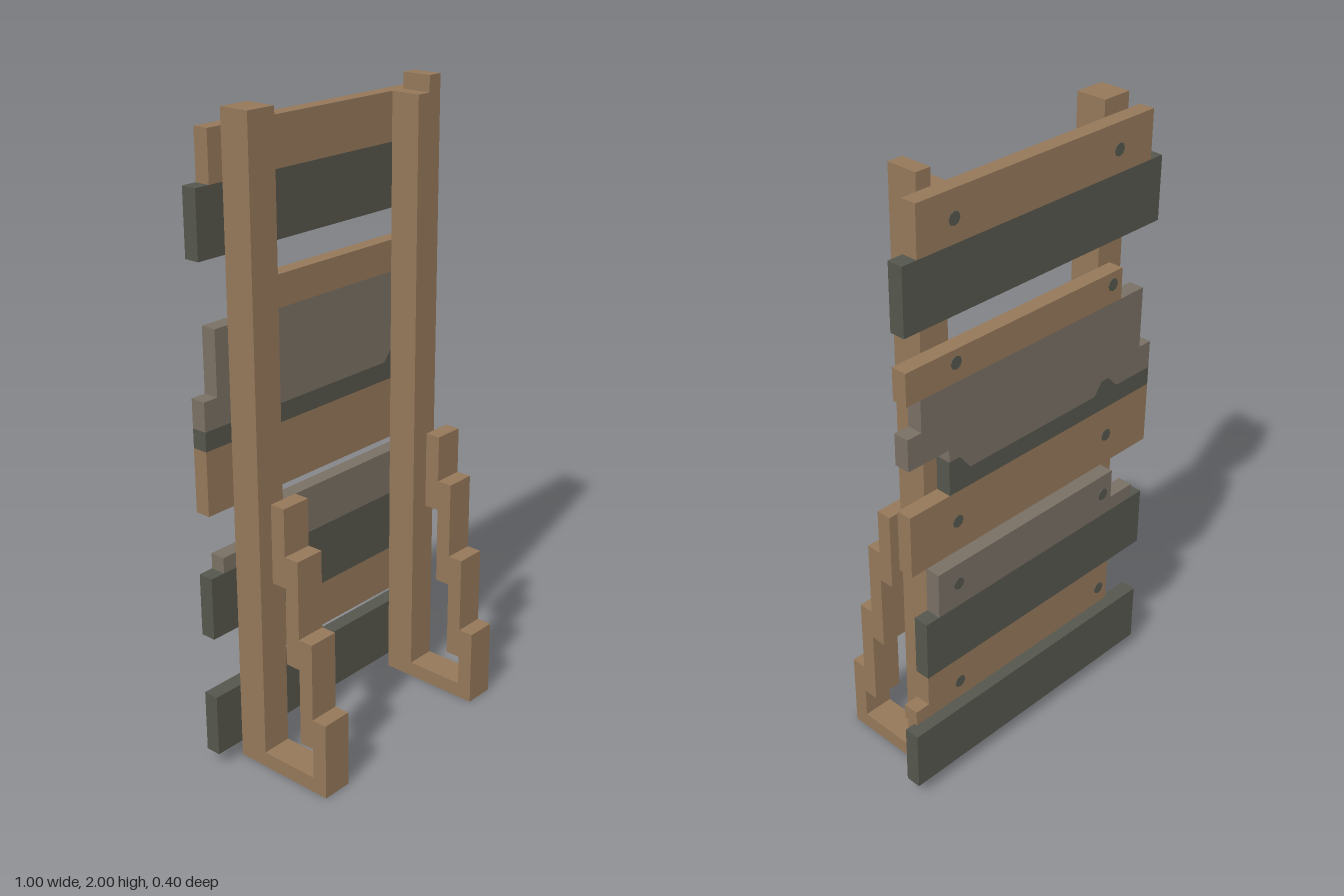
import * as THREE from 'three';

const paint = (name, color) => {
  const m = new THREE.MeshStandardMaterial({ color });
  m.name = name;
  return m;
};

// Flat-sided slab from an outline of [x, y] points
function slab(points, depth) {
  const shape = new THREE.Shape(points.map(([x, y]) => new THREE.Vector2(x, y)));
  return new THREE.ExtrudeGeometry(shape, { depth, bevelEnabled: false });
}

const rect = (x0, x1, y0, y1) => [[x0, y0], [x1, y0], [x1, y1], [x0, y1]];

export function createModel() {
  const wood = paint('tanWood', 0x94785a);
  const dark = paint('darkWood', 0x55564c);
  const grey = paint('greyWood', 0x7a7064);
  const model = new THREE.Group();
  model.name = 'plankBarricade';

  const add = (name, geometry, material, x = 0, y = 0, z = 0) => {
    const mesh = new THREE.Mesh(geometry, material);
    mesh.name = name;
    mesh.position.set(x, y, z);
    model.add(mesh);
  };

  // Upright posts; the left one is chipped at its top inner corner
  add('rightPost', slab(rect(-0.4, -0.3, 0, 2), 0.1), wood, 0, 0, -0.15);
  add('leftPost', slab([[0.3, 0], [0.4, 0], [0.4, 2], [0.35, 2], [0.35, 1.95], [0.3, 1.95]], 0.1), wood, 0, 0, -0.15);

  // Stepped braces with feet, outlined in z and y
  const brace = slab([
    [-0.05, 0], [0.2, 0], [0.2, 0.25], [0.15, 0.25], [0.15, 0.5], [0.1, 0.5],
    [0.1, 0.75], [0.05, 0.75], [0.05, 0.9], [0, 0.9], [0, 0.65], [0.05, 0.65],
    [0.05, 0.4], [0.1, 0.4], [0.1, 0.15], [0.15, 0.15], [0.15, 0.05], [-0.05, 0.05],
  ], 0.1).rotateY(-Math.PI / 2);
  add('rightBrace', brace, wood, -0.3);
  add('leftBrace', brace, wood, 0.4);

  // Edge between the dark stain and the grey wood on the wide middle plank
  const stainEdge = [
    [0.35, 1.16], [0.31, 1.16], [0.27, 1.11], [-0.25, 1.11],
    [-0.28, 1.15], [-0.31, 1.15], [-0.35, 1.11], [-0.5, 1.11],
  ];

  // Planks across the back, top to bottom, with broken ends
  const planks = [
    ['topPlank', wood, rect(-0.45, 0.45, 1.8, 1.95)],
    ['upperDarkPlank', dark, rect(-0.5, 0.5, 1.6, 1.8)],
    ['upperTanPlank', wood, rect(-0.35, 0.5, 1.4, 1.5)],
    ['middleGreyPlank', grey, [
      [-0.5, 1.2], [-0.45, 1.2], [-0.45, 1.4], [0.45, 1.4], [0.45, 1.3],
      [0.5, 1.3], [0.5, 1.2], [0.35, 1.2], ...stainEdge]],
    ['middlePlankStain', dark, [[-0.5, 1.05], [0.35, 1.05], ...stainEdge]],
    ['middleTanPlank', wood, rect(-0.5, 0.5, 0.85, 1.05)],
    ['lowerGreyPlank', grey, [
      [-0.45, 0.65], [0.4, 0.65], [0.4, 0.8], [-0.35, 0.8], [-0.35, 0.7], [-0.45, 0.7]]],
    ['lowerDarkPlank', dark, rect(-0.5, 0.45, 0.45, 0.65)],
    ['lowerTanPlank', wood, [
      [-0.35, 0.3], [0.5, 0.3], [0.5, 0.35], [0.45, 0.35], [0.45, 0.45], [-0.35, 0.45]]],
    ['bottomDarkPlank', dark, rect(-0.5, 0.5, 0.05, 0.25)],
  ];
  for (const [name, material, outline] of planks) {
    add(name, slab(outline, 0.05), material, 0, 0, -0.2);
  }

  // Flat nail heads on the back of the planks
  const nail = new THREE.CylinderGeometry(0.02, 0.02, 0.004, 8).rotateX(Math.PI / 2);
  for (const y of [1.87, 1.46, 0.95, 0.73, 0.36]) {
    for (const x of [0.32, -0.31]) add('nailHead', nail, dark, x, y, -0.2);
  }
  return model;
}
